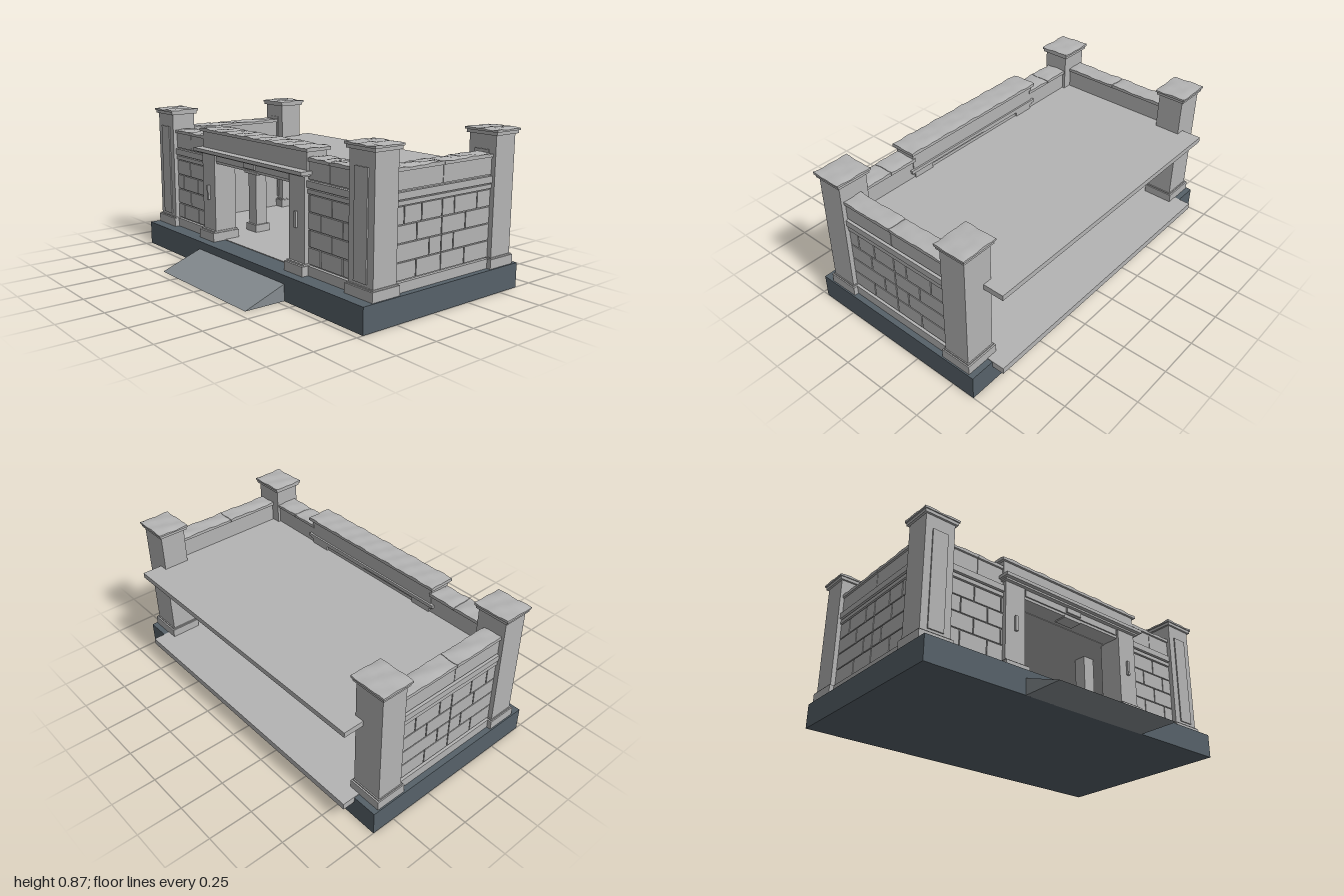
import * as THREE from 'three';

const mat = (name, color) => {
  const m = new THREE.MeshStandardMaterial({ color });
  m.name = name;
  return m;
};

export function createModel() {
  const stone = mat('stone', 0xb4b4b4);
  const slate = mat('slate', 0x566169);
  const rampGrey = mat('ramp grey', 0x858c90);
  const figureBlue = mat('figure dark blue', 0x414c55);
  const root = new THREE.Group();

  const group = (name, parent = root) => {
    const g = new THREE.Group();
    g.name = name;
    parent.add(g);
    return g;
  };
  const add = (parent, name, geo, material) => {
    const m = new THREE.Mesh(geo, material);
    m.name = name;
    parent.add(m);
    return m;
  };
  // Box given by its limits on each axis
  const box = (parent, name, x0, x1, y0, y1, z0, z1, material = stone) => {
    const geo = new THREE.BoxGeometry(x1 - x0, y1 - y0, z1 - z0);
    geo.translate((x0 + x1) / 2, (y0 + y1) / 2, (z0 + z1) / 2);
    return add(parent, name, geo, material);
  };
  // Coping stone: a box with an uneven, worn top
  const coping = (parent, name, x0, x1, y0, y1, z0, z1) => {
    const nx = Math.ceil((x1 - x0) / 0.03), nz = Math.ceil((z1 - z0) / 0.03);
    const geo = new THREE.BoxGeometry(x1 - x0, y1 - y0, z1 - z0, nx, 1, nz);
    geo.translate((x0 + x1) / 2, (y0 + y1) / 2, (z0 + z1) / 2);
    const p = geo.attributes.position;
    for (let i = 0; i < p.count; i++) {
      if (p.getY(i) < y1 - 0.001) continue;
      const x = p.getX(i), z = p.getZ(i);
      const edge = Math.min(x - x0, x1 - x, z - z0, z1 - z) < 0.005 ? 0.005 : 0;
      p.setY(i, y1 - edge + 0.0025 * Math.sin(x * 61 + z * 23) + 0.002 * Math.sin(z * 67 - x * 31));
    }
    geo.computeVertexNormals();
    return add(parent, name, geo, stone);
  };

  // Foundation, ramp, floor and roof
  box(root, 'foundation', -1, 1, 0, 0.137, -0.635, 0.463, slate);
  const wedge = new THREE.Shape([[0.46, 0], [0.703, 0], [0.46, 0.092]].map(([z, y]) => new THREE.Vector2(z, y)));
  const rampGeo = new THREE.ExtrudeGeometry(wedge, { depth: 0.82, bevelEnabled: false });
  rampGeo.rotateY(-Math.PI / 2);
  rampGeo.translate(0.41, 0, 0);
  add(root, 'entranceRamp', rampGeo, rampGrey);
  box(root, 'floorSlab', -0.86, 0.86, 0.105, 0.141, -0.705, 0.33);
  box(root, 'roofSlab', -0.86, 0.86, 0.59, 0.62, -0.705, 0.27);

  // Corner pillars
  for (const s of [-1, 1]) for (const zc of [0.313, -0.515]) {
    const g = group('cornerPillar');
    const part = (name, hw, y0, y1, hd) =>
      box(g, name, s * 0.895 - hw, s * 0.895 + hw, y0, y1, zc - hd, zc + hd);
    part('pillarShaft', 0.086, 0.137, 0.832, 0.074);
    part('pillarPlinth', 0.097, 0.137, 0.188, 0.088);
    part('pillarPlinthTop', 0.091, 0.188, 0.195, 0.08);
    part('pillarNeck', 0.098, 0.83, 0.847, 0.086);
    coping(g, 'pillarCap', s * 0.895 - 0.105, s * 0.895 + 0.105, 0.847, 0.863, zc - 0.092, zc + 0.092);
    box(g, 'pillarPanel', s * 0.895 - 0.045, s * 0.895 + 0.045, 0.21, 0.755, zc + 0.07, zc + 0.081);
  }

  // Walls are built along u, with depth d measured outwards from the inner face
  const rows = [0.192, 0.283, 0.374, 0.464, 0.555];
  const wall = (name, u0, u1, depth, place, seams, joints) => {
    const g = group(name);
    const put = (fn, label, a, b, y0, y1, d0, d1) => {
      const [x0, x1, z0, z1] = place(a, b, d0, d1);
      fn(g, label, Math.min(x0, x1), Math.max(x0, x1), y0, y1, Math.min(z0, z1), Math.max(z0, z1));
    };
    const gap = 0.003;
    put(box, 'wallCore', u0, u1, 0.137, 0.72, 0, depth);
    put(box, 'wallPlinth', u0, u1, 0.137, 0.188, depth - 0.01, depth + 0.018);
    for (let r = 0; r < 4; r++) {
      const ends = [u0, ...seams[r], u1];
      for (let i = 0; i + 1 < ends.length; i++)
        put(box, 'wallBlock', ends[i] + gap, ends[i + 1] - gap, rows[r] + gap, rows[r + 1] - gap, depth - 0.005, depth + 0.007);
    }
    put(box, 'wallMoulding', u0, u1, 0.558, 0.58, depth - 0.005, depth + 0.012);
    put(box, 'wallBand', u0, u1, 0.588, 0.623, depth - 0.005, depth + 0.018);
    const ends = [u0, ...joints, u1];
    for (let i = 0; i + 1 < ends.length; i++) {
      const a = ends[i] + gap / 2, b = ends[i + 1] - gap / 2;
      put(box, 'parapetBlock', a, b, 0.63, 0.718, depth - 0.005, depth + 0.007);
      put(coping, 'wallCoping', a, b, 0.72, 0.742, -0.01, depth + 0.016);
    }
  };
  for (const s of [-1, 1]) {
    wall('sideWall', -0.442, 0.24, 0.085,
      (a, b, d0, d1) => [s * (0.865 + d0), s * (0.865 + d1), a, b],
      [[-0.257, -0.085, 0.087], [-0.172, -0.085, 0], [-0.257, -0.085, 0.087], [-0.34, -0.172, -0.085, 0.057, 0.174]],
      [-0.085]);
    wall('frontWall', 0.47, 0.812, 0.1,
      (a, b, d0, d1) => [s * a, s * b, 0.255 + d0, 0.255 + d1],
      [[0.575, 0.74], [0.49, 0.66], [0.575, 0.74], [0.49, 0.66]],
      [0.645]);
    // Gateway jambs
    const g = group('gatewayJamb');
    const part = (name, a, b, y0, y1, z0, z1) =>
      box(g, name, Math.min(s * a, s * b), Math.max(s * a, s * b), y0, y1, z0, z1);
    part('jambShaft', 0.35, 0.478, 0.137, 0.65, 0.245, 0.385);
    part('jambPlinth', 0.337, 0.49, 0.137, 0.188, 0.235, 0.41);
    part('jambPlinthTop', 0.344, 0.484, 0.188, 0.197, 0.24, 0.398);
    part('jambBracket', 0.404, 0.42, 0.375, 0.46, 0.38, 0.398);
  }

  // Gateway lintel and parapet
  const gate = group('gatewayHeader');
  box(gate, 'lintel', -0.352, 0.352, 0.593, 0.65, 0.255, 0.372);
  box(gate, 'lintelPanel', -0.34, 0.34, 0.608, 0.648, 0.37, 0.38);
  box(gate, 'lintelPlaque', -0.052, 0.052, 0.614, 0.642, 0.37, 0.39);
  box(gate, 'lintelDrop', -0.06, 0.06, 0.585, 0.6, 0.3, 0.376);
  box(gate, 'cornice', -0.505, 0.505, 0.655, 0.674, 0.24, 0.428);
  box(gate, 'corniceBed', -0.492, 0.492, 0.645, 0.656, 0.245, 0.405);
  box(gate, 'headerBlock', -0.485, 0.485, 0.67, 0.768, 0.25, 0.375);
  coping(gate, 'headerCoping', -0.5, 0.5, 0.767, 0.789, 0.235, 0.388);

  // Interior columns
  for (const s of [-1, 1]) for (const z of [-0.32, 0.05]) {
    const g = group('roofColumn');
    const x = s * 0.405;
    box(g, 'columnShaft', x - 0.038, x + 0.038, 0.14, 0.592, z - 0.038, z + 0.038);
    box(g, 'columnBase', x - 0.051, x + 0.051, 0.14, 0.185, z - 0.051, z + 0.051);
  }

  // Small standing figure for scale
  const fig = group('figure');
  fig.position.set(0.202, 0.14, 0.22);
  box(fig, 'torso', -0.027, 0.027, 0.068, 0.134, -0.016, 0.016, figureBlue);
  for (const s of [-1, 1]) {
    box(fig, 'arm', s * 0.036 - 0.009, s * 0.036 + 0.009, 0.075, 0.128, -0.014, 0.014, figureBlue);
    box(fig, 'leg', s * 0.014 - 0.01, s * 0.014 + 0.01, 0, 0.07, -0.013, 0.013, figureBlue);
  }
  return root;
}
